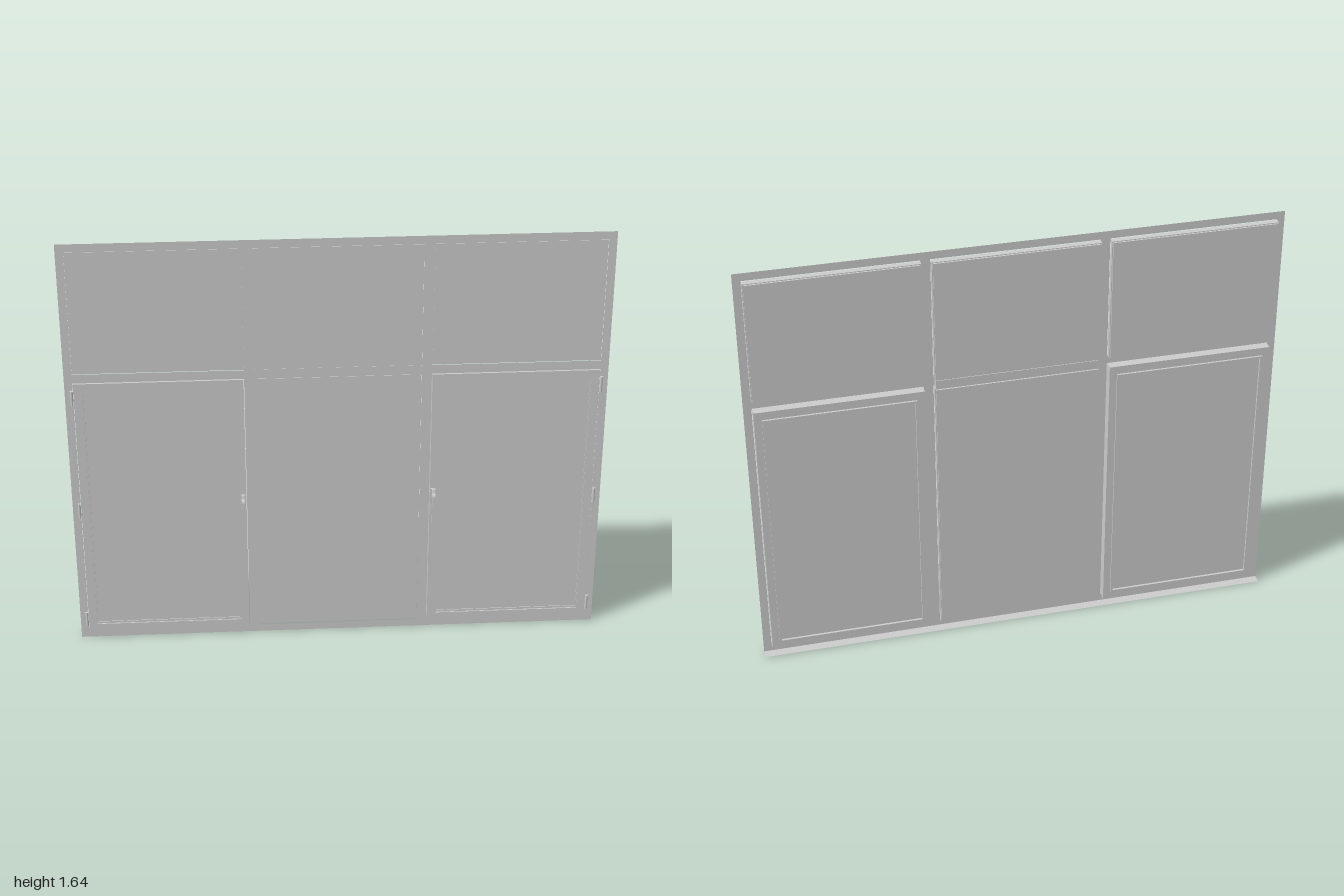
import * as THREE from 'three';

const grey = new THREE.MeshStandardMaterial({ color: 0xcccccc, side: THREE.DoubleSide });
const H = 1.645;

function add(parent, name, geometry) {
  const mesh = new THREE.Mesh(geometry, grey);
  mesh.name = name;
  parent.add(mesh);
  return mesh;
}

// Box given by its limits on each axis
function box(parent, name, x0, x1, y0, y1, z0, z1) {
  const mesh = add(parent, name, new THREE.BoxGeometry(x1 - x0, y1 - y0, z1 - z0));
  mesh.position.set((x0 + x1) / 2, (y0 + y1) / 2, (z0 + z1) / 2);
  return mesh;
}

function rect(Type, x0, x1, y0, y1) {
  return new Type([[x0, y0], [x1, y0], [x1, y1], [x0, y1]].map(p => new THREE.Vector2(...p)));
}

// Rectangular ring of width w, extruded from z0 to z1
function ring(parent, name, [x0, x1, y0, y1], w, z0, z1) {
  const shape = rect(THREE.Shape, x0, x1, y0, y1);
  shape.holes.push(rect(THREE.Path, x0 + w, x1 - w, y0 + w, y1 - w));
  const geometry = new THREE.ExtrudeGeometry(shape, { depth: z1 - z0, bevelEnabled: false });
  geometry.translate(0, 0, z0);
  return add(parent, name, geometry);
}

// Glazing unit: two sheets with a slightly inset spacer between
function glazing(parent, name, [x0, x1, y0, y1], back, front) {
  const group = new THREE.Group();
  group.name = name;
  const t = (front - back) * 0.28, i = 0.004;
  box(group, 'frontSheet', x0, x1, y0, y1, front - t, front);
  box(group, 'spacer', x0 + i, x1 - i, y0 + i, y1 - i, back + t, front - t);
  box(group, 'backSheet', x0, x1, y0, y1, back, back + t);
  parent.add(group);
}

// Lever handle: side profile in (z, y), with finger waves on the inner edge
function handle(parent, x) {
  const group = new THREE.Group();
  group.name = 'handle';
  box(group, 'handlePlate', -0.01, 0.01, 0.535, 0.622, 0.008, 0.014);
  const shape = new THREE.Shape();
  shape.moveTo(0.012, 0.62);
  shape.lineTo(0.02, 0.62);
  shape.lineTo(0.024, 0.608);
  shape.lineTo(0.037, 0.605);
  shape.lineTo(0.04, 0.598);
  shape.lineTo(0.04, 0.485);
  shape.lineTo(0.034, 0.482);
  for (let i = 0; i < 4; i++) {
    const y = 0.485 + i * 0.022;
    shape.quadraticCurveTo(0.027, y + 0.011, 0.033, y + 0.022);
  }
  shape.lineTo(0.03, 0.585);
  shape.lineTo(0.012, 0.59);
  const grip = new THREE.ExtrudeGeometry(shape, { depth: 0.012, bevelEnabled: false, curveSegments: 5 });
  grip.rotateY(-Math.PI / 2);
  grip.translate(0.006, 0, 0);
  add(group, 'handleGrip', grip);
  group.position.x = x;
  parent.add(group);
}

export function createModel() {
  const model = new THREE.Group();
  model.name = 'windowUnit';

  const upper = [[-0.97, -0.345], [-0.308, 0.308], [0.345, 0.97]].map(([a, b]) => [a, b, 1.135, 1.615]);
  const middle = [-0.308, 0.308, 0.03, 1.1];
  const sashes = [[-0.97, -0.345, 0.03, 1.1], [0.345, 0.97, 0.03, 1.1]];

  // Thin front face of the fixed frame, with one hole for each light
  const face = rect(THREE.Shape, -1, 1, 0, H);
  for (const r of [...upper, middle, ...sashes]) face.holes.push(rect(THREE.Path, ...r));
  add(model, 'frameFace', new THREE.ShapeGeometry(face));

  // Sill plate running back under the frame
  const sill = add(model, 'sill', new THREE.PlaneGeometry(2, 0.036).rotateX(-Math.PI / 2));
  sill.position.z = -0.018;

  // Fixed lights
  for (const [x0, x1, y0, y1] of [...upper, middle]) {
    const g = 0.003;
    glazing(model, 'fixedLight', [x0 + g, x1 - g, y0 + g, y1 - g], -0.032, -0.002);
    ring(model, 'gasket', [x0, x1, y0, y1], 0.005, -0.026, -0.004);
  }
  box(model, 'transom', -0.305, 0.305, 1.1, 1.135, -0.03, -0.003);

  // Opening sashes with beads, hinges and handles
  sashes.forEach(([x0, x1, y0, y1], i) => {
    const sash = new THREE.Group();
    sash.name = i ? 'leftSash' : 'rightSash';
    const side = i ? 1 : -1;
    ring(sash, 'sashFrame', [x0 + 0.002, x1 - 0.002, y0, y1], 0.032, -0.034, 0.008);
    const inner = [x0 + 0.03, x1 - 0.03, y0 + 0.033, y1 - 0.033];
    ring(sash, 'glazingBead', inner, 0.008, -0.04, 0.005);
    glazing(sash, 'sashGlass', inner.map((v, k) => v + (k % 2 ? -0.007 : 0.007)), -0.031, 0.002);
    for (const y of [0.085, 0.568, 1.04]) {
      const pin = add(sash, 'hinge', new THREE.CylinderGeometry(0.005, 0.005, 0.06, 12));
      pin.position.set(side * 0.975, y, 0.005);
      const leaf = box(sash, 'hingeLeaf', -0.007, 0.007, y - 0.03, y + 0.03, 0, 0.004);
      leaf.position.x = side * 0.977;
    }
    handle(sash, side * 0.36);
    model.add(sash);
  });

  return model;
}
